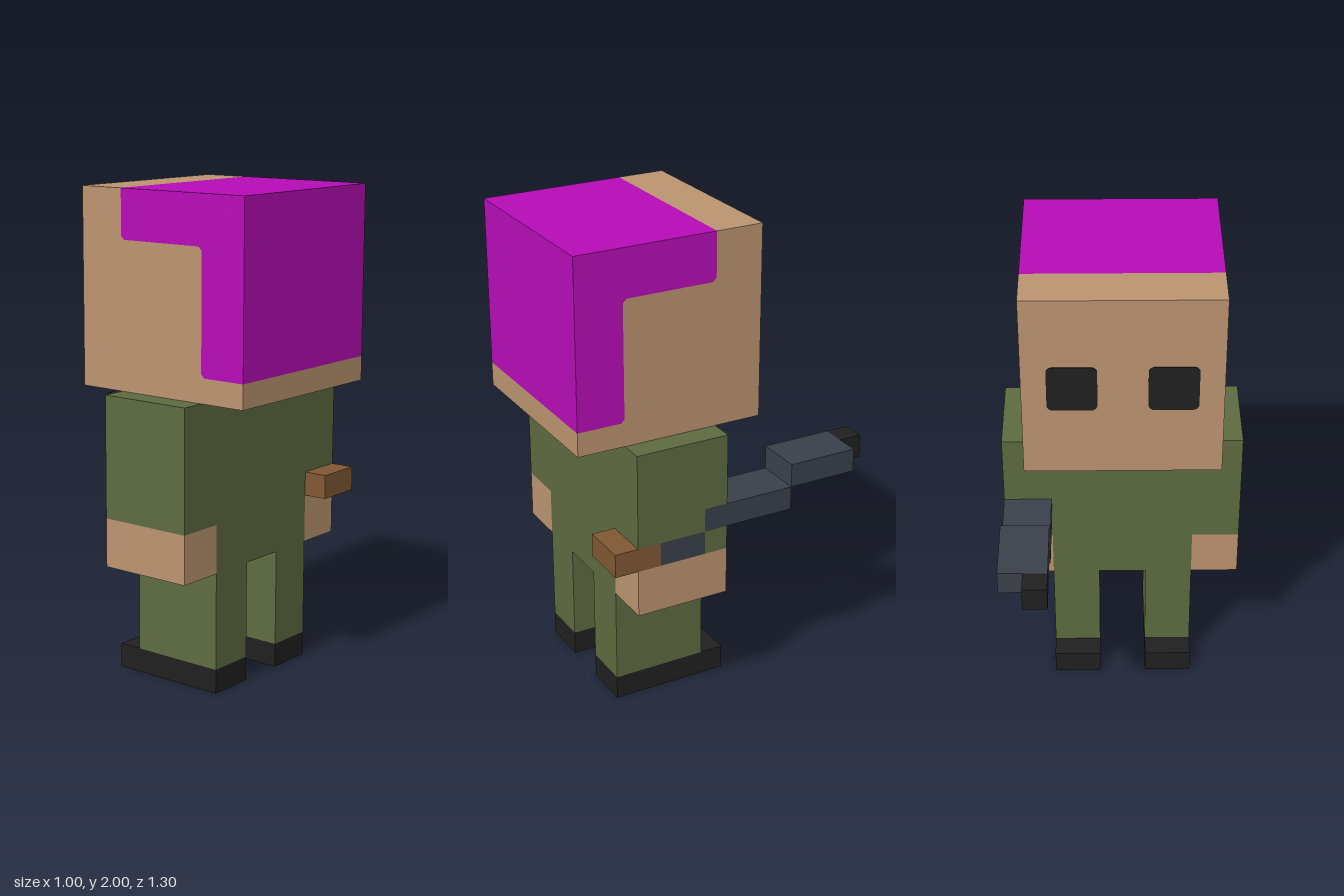
import * as THREE from 'three';

const mat = (name, color) => {
  const m = new THREE.MeshStandardMaterial({ color });
  m.name = name;
  return m;
};

export function createModel() {
  const skin = mat('skin', 0xbc9470), hairColor = mat('magentaHair', 0xb80cb8);
  const cloth = mat('oliveCloth', 0x5e6b40), wood = mat('brownWood', 0x805834);
  const steel = mat('slateSteel', 0x3a404b), black = mat('black', 0x202020);
  const model = new THREE.Group();
  model.name = 'figure';

  const group = (name) => {
    const g = new THREE.Group();
    g.name = name;
    model.add(g);
    return g;
  };
  const add = (parent, name, geometry, material) => {
    const mesh = new THREE.Mesh(geometry, material);
    mesh.name = name;
    parent.add(mesh);
    return mesh;
  };
  // Box given by its [min, max] range on each axis
  const box = (parent, name, material, [x0, x1], [y0, y1], [z0, z1]) =>
    add(parent, name, new THREE.BoxGeometry(x1 - x0, y1 - y0, z1 - z0), material)
      .position.set((x0 + x1) / 2, (y0 + y1) / 2, (z0 + z1) / 2);
  // Side profile of [z, y] points, extruded across the width of the head
  const slab = (parent, name, material, points) => {
    const shape = new THREE.Shape(points.map(([z, y]) => new THREE.Vector2(-z, y)));
    const geo = new THREE.ExtrudeGeometry(shape, { depth: 0.8, bevelEnabled: false });
    geo.translate(0, 0, -0.4).rotateY(Math.PI / 2);
    add(parent, name, geo, material);
  };

  // Head: skin and hair interlock flush with each other
  const head = group('head');
  slab(head, 'face', skin, [[-0.15, 1.2], [0.65, 1.2], [0.65, 1.3], [0.465, 1.3], [0.45, 1.315],
    [0.45, 1.785], [0.435, 1.8], [0.065, 1.8], [0.05, 1.815], [0.05, 2], [-0.15, 2]]);
  slab(head, 'hair', hairColor, [[0.65, 1.3], [0.65, 2], [0.05, 2], [0.05, 1.815], [0.065, 1.8],
    [0.435, 1.8], [0.45, 1.785], [0.45, 1.315], [0.465, 1.3]]);

  // Eyes: thin rounded squares on the face
  const eye = new THREE.Shape(), a = 0.1, r = 0.025;
  [[1, 1], [-1, 1], [-1, -1], [1, -1]].forEach(([sx, sy], i) => {
    const angle = i * Math.PI / 2;
    eye.absarc(sx * (a - r), sy * (a - r), r, angle, angle + Math.PI / 2, false);
  });
  const eyeGeo = new THREE.ExtrudeGeometry(eye, { depth: 0.006, bevelEnabled: false, curveSegments: 3 });
  for (const s of [-1, 1]) add(head, s > 0 ? 'leftEye' : 'rightEye', eyeGeo, black).position.set(s * 0.2, 1.6, -0.154);

  // Torso and legs
  const depth = [0.05, 0.45];
  box(model, 'torso', cloth, [-0.3, 0.3], [0.5, 1.2], depth);
  for (const s of [-1, 1]) {
    const leg = group(s > 0 ? 'leftLeg' : 'rightLeg');
    const x = s > 0 ? [0.1, 0.3] : [-0.3, -0.1];
    box(leg, 'trouserLeg', cloth, x, [0.1, 0.5], depth);
    box(leg, 'shoe', black, x, [0, 0.1], [-0.05, 0.45]);
  }

  // Arms: the left sleeve is stepped around the rifle set into it
  const rightArm = group('rightArm'), leftArm = group('leftArm'), lx = [0.3, 0.5];
  box(rightArm, 'hand', skin, [-0.5, -0.3], [0.5, 0.7], depth);
  box(rightArm, 'sleeve', cloth, [-0.5, -0.3], [0.7, 1.2], depth);
  box(leftArm, 'hand', skin, lx, [0.5, 0.7], depth);
  box(leftArm, 'cuff', cloth, lx, [0.7, 0.8], [0.05, 0.15]);
  box(leftArm, 'lowerSleeve', cloth, lx, [0.8, 0.9], [0.15, 0.45]);
  box(leftArm, 'upperSleeve', cloth, lx, [0.9, 1.2], depth);

  // Rifle rising in steps towards the muzzle
  const rifle = group('rifle');
  box(rifle, 'stock', wood, lx, [0.7, 0.8], [0.35, 0.55]);
  box(rifle, 'grip', steel, lx, [0.7, 0.8], [0.15, 0.35]);
  box(rifle, 'receiver', steel, lx, [0.8, 0.9], [-0.25, 0.15]);
  box(rifle, 'barrel', steel, lx, [0.9, 1], [-0.55, -0.25]);
  box(rifle, 'muzzle', black, [0.3, 0.4], [0.9, 1], [-0.65, -0.55]);

  return model;
}
